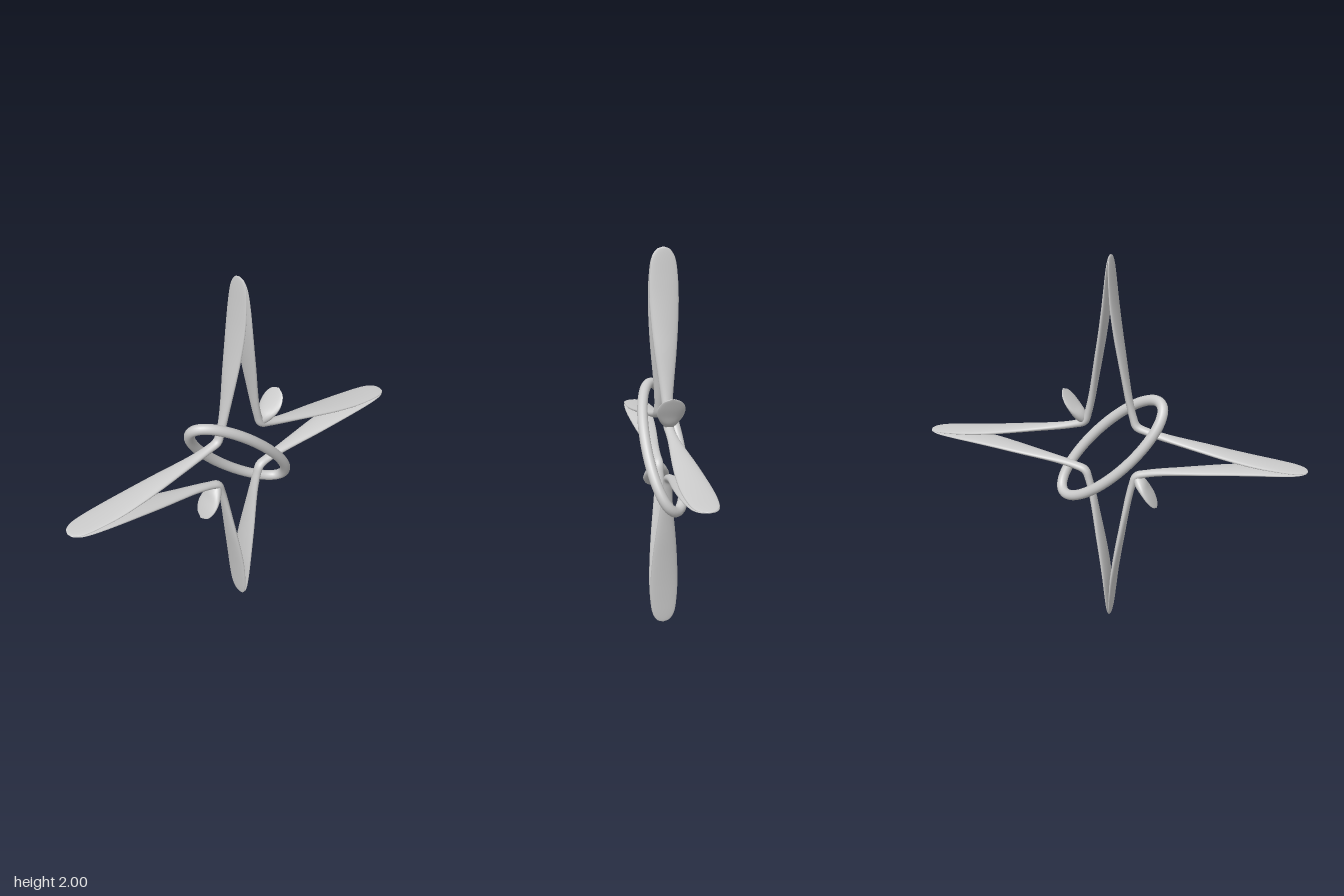
import * as THREE from 'three';

const V = (x, y, z = 0) => new THREE.Vector3(x, y, z);

// Sweeps an ellipse along a path in the xy plane.
// Rows are [x, y, half width in z, half thickness in the plane].
function sweep(rows, steps, sides = 20) {
  const path = new THREE.CatmullRomCurve3(rows.map(r => V(r[0], r[1])), false, 'catmullrom', 0.5);
  const size = new THREE.CatmullRomCurve3(rows.map(r => V(r[2], r[3])), false, 'catmullrom', 0.5);
  const pos = [], idx = [];
  for (let i = 0; i <= steps; i++) {
    const p = path.getPoint(i / steps), t = path.getTangent(i / steps), s = size.getPoint(i / steps);
    const w = Math.max(s.x, 0.0005), h = Math.max(s.y, 0.0005);
    for (let j = 0; j < sides; j++) {
      const a = j / sides * Math.PI * 2, n = Math.cos(a) * h;
      pos.push(p.x - t.y * n, p.y + t.x * n, Math.sin(a) * w);
    }
  }
  for (let i = 0; i < steps; i++) {
    for (let j = 0; j < sides; j++) {
      const k = (j + 1) % sides;
      const a = i * sides + j, b = i * sides + k, c = a + sides, d = b + sides;
      idx.push(a, b, c, b, d, c);
    }
  }
  const g = new THREE.BufferGeometry();
  g.setAttribute('position', new THREE.Float32BufferAttribute(pos, 3));
  g.setIndex(idx);
  g.computeVertexNormals();
  return g;
}

export function createModel() {
  const group = new THREE.Group();
  const material = new THREE.MeshStandardMaterial({ color: 0xcccccc, roughness: 0.6, side: THREE.DoubleSide });
  const add = (name, geometry) => {
    const mesh = new THREE.Mesh(geometry, material);
    mesh.name = name;
    group.add(mesh);
    return mesh;
  };

  // One strand: [distance from arm axis, distance along arm, half width, half thickness]
  const leg = [
    [0, 0.998, 0.006, 0.002], [0.002, 0.985, 0.035, 0.004], [0.005, 0.94, 0.06, 0.007],
    [0.012, 0.85, 0.071, 0.010], [0.022, 0.74, 0.073, 0.014], [0.04, 0.61, 0.066, 0.016],
    [0.06, 0.49, 0.055, 0.017], [0.08, 0.37, 0.041, 0.017], [0.098, 0.27, 0.030, 0.018],
    [0.117, 0.19, 0.025, 0.019],
  ];
  const strand = [
    ...leg,
    [0.138, 0.138, 0.026, 0.021],
    ...[...leg].reverse().map(([a, s, w, t]) => [s, a, w, t]),
  ];
  // Four bent strands, one per quadrant, meet at the tips
  const strandGeometry = sweep(strand, 120);
  ['upperLeft', 'upperRight', 'lowerRight', 'lowerLeft'].forEach((name, i) => {
    const mesh = add(name + 'StarStrand', strandGeometry);
    mesh.position.y = 1;
    mesh.rotation.z = i * Math.PI / 2;
  });

  // Small leaf-like fins on two opposite inner corners
  const finGeometry = sweep([
    [0.128, 0.138, 0.012, 0.012], [0.145, 0.152, 0.032, 0.024], [0.165, 0.178, 0.052, 0.028],
    [0.19, 0.212, 0.068, 0.020], [0.217, 0.25, 0.068, 0.013], [0.24, 0.285, 0.046, 0.006],
    [0.251, 0.303, 0.004, 0.002],
  ], 36);
  ['upperFin', 'lowerFin'].forEach((name, i) => {
    const mesh = add(name, finGeometry);
    mesh.position.y = 1;
    mesh.rotation.z = i * Math.PI;
  });

  // Tilted oval ring threaded through the other two corners
  const major = V(-0.265, 0.265, 0), minor = V(0.075, 0.075, 0.11);
  const loop = [];
  for (let i = 0; i < 32; i++) {
    const a = i / 32 * Math.PI * 2;
    loop.push(V(0, 1, 0).addScaledVector(major, Math.cos(a)).addScaledVector(minor, Math.sin(a)));
  }
  add('ovalRing', new THREE.TubeGeometry(new THREE.CatmullRomCurve3(loop, true), 120, 0.027, 16, true));

  return group;
}
